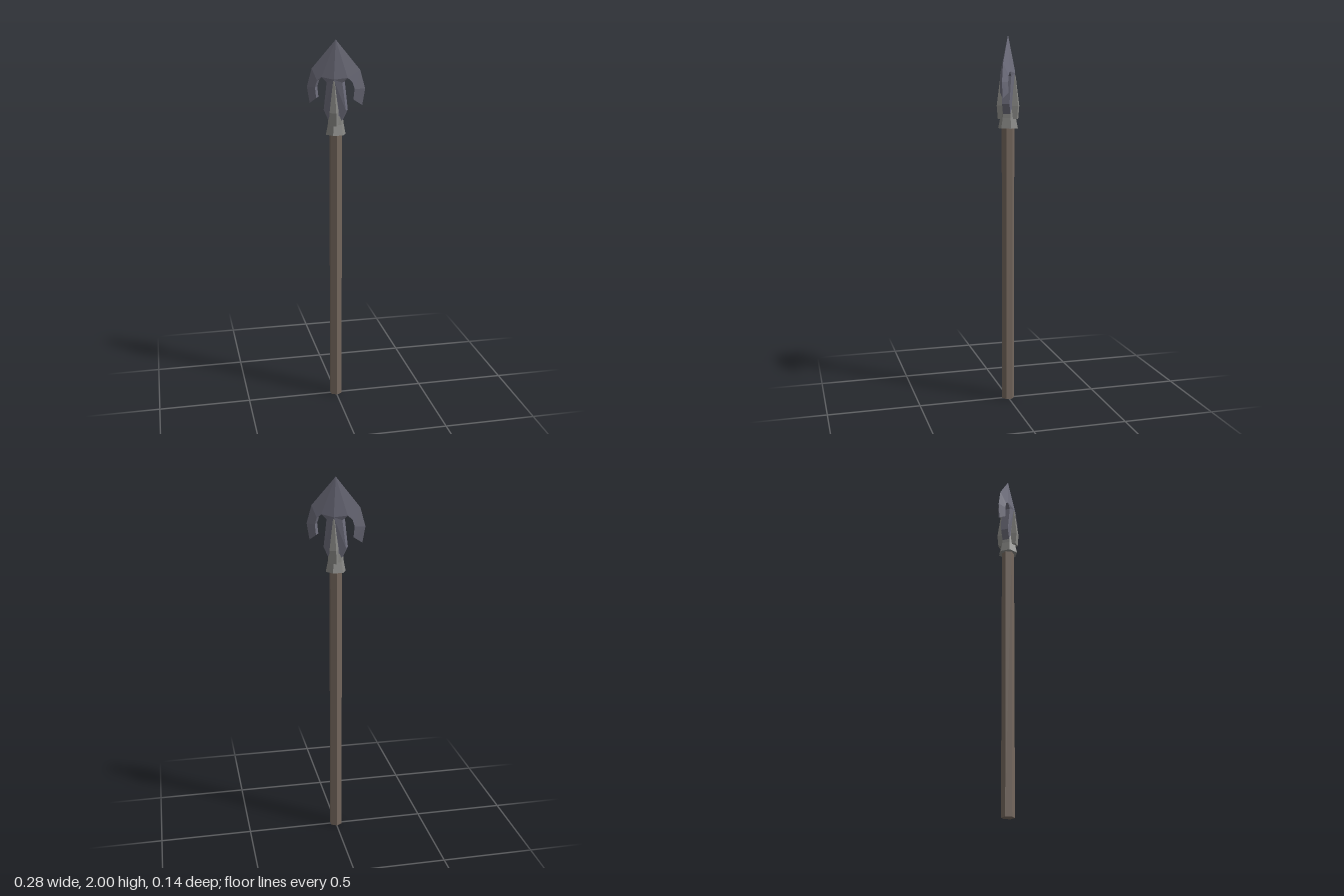
import * as THREE from 'three';

const steel = new THREE.MeshStandardMaterial({ color: 0x6c6c7a });
steel.name = 'dark steel';
const iron = new THREE.MeshStandardMaterial({ color: 0x868683 });
iron.name = 'grey iron';
const wood = new THREE.MeshStandardMaterial({ color: 0x74675d });
wood.name = 'brown wood';

function addMesh(parent, name, geometry, material) {
  const flat = geometry.index ? geometry.toNonIndexed() : geometry;
  flat.computeVertexNormals();
  const mesh = new THREE.Mesh(flat, material);
  mesh.name = name;
  parent.add(mesh);
  return mesh;
}

function fromTriangles(tris) {
  const g = new THREE.BufferGeometry();
  g.setAttribute('position', new THREE.Float32BufferAttribute(tris.flat(2), 3));
  return g;
}

// Six-sided tapered tube between two heights
function hexTube(y0, y1, r0, r1) {
  return new THREE.CylinderGeometry(r1, r0, y1 - y0, 6).translate(0, (y0 + y1) / 2, 0);
}

// Barbed head: one quarter surface mirrored across both axes
function bladeGeometry() {
  const p = { // across, height, half thickness
    tip: [0, 2, 0], b: [0.13, 1.85, 0], c: [0.157, 1.755, 0], d: [0.142, 1.67, 0],
    e: [0.1, 1.7, 0.022], f: [0.106, 1.755, 0.022], g: [0.095, 1.79, 0.023],
    h: [0.07, 1.81, 0.025], i: [0.042, 1.785, 0.026], k: [0.06, 1.64, 0.02],
    l: [0.032, 1.58, 0.02], m: [0, 1.58, 0.036], ridge: [0, 1.8, 0.038],
  };
  const faces = [
    ['tip', 'ridge', 'h'], ['tip', 'h', 'b'], ['b', 'h', 'g'], ['b', 'g', 'f'],
    ['b', 'f', 'c'], ['c', 'f', 'e'], ['c', 'e', 'd'], ['ridge', 'i', 'h'],
    ['ridge', 'm', 'l'], ['ridge', 'l', 'k'], ['ridge', 'k', 'i'],
  ].map((t) => t.map((n) => p[n]));
  // Rim walls reach from the face to the middle plane
  const rim = ['d', 'e', 'f', 'g', 'h', 'i', 'k', 'l', 'm'].map((n) => p[n]);
  const mid = ([x, y]) => [x, y, 0];
  for (let n = 0; n < rim.length - 1; n++) {
    const a = rim[n], b = rim[n + 1];
    faces.push([a, b, mid(b)]);
    if (a[2] > 0) faces.push([a, mid(b), mid(a)]);
  }
  const tris = [];
  for (const sx of [1, -1]) for (const sz of [1, -1]) {
    for (const face of faces) {
      const t = face.map(([x, y, z]) => [x * sx, y, z * sz]);
      tris.push(sx * sz > 0 ? t : t.reverse());
    }
  }
  return fromTriangles(tris);
}

// Tapered rib clasping the head, lofted through trapezoid sections
function ribGeometry() {
  const rings = [ // height, back half width, front half width, depth
    [1.56, 0.026, 0.018, 0.052], [1.63, 0.026, 0.018, 0.058], [1.79, 0.008, 0.004, 0.04],
  ].map(([y, back, front, z]) => [[-back, y, 0], [-front, y, z], [front, y, z], [back, y, 0]]);
  const tris = [];
  for (let r = 0; r < rings.length - 1; r++) {
    for (let n = 0; n < 4; n++) {
      const m = (n + 1) % 4, lo = rings[r], hi = rings[r + 1];
      tris.push([lo[n], lo[m], hi[m]], [lo[n], hi[m], hi[n]]);
    }
  }
  const [bottom, top] = [rings[0], rings[rings.length - 1]];
  tris.push([top[0], top[1], top[2]], [top[0], top[2], top[3]]);
  tris.push([bottom[2], bottom[1], bottom[0]], [bottom[3], bottom[2], bottom[0]]);
  return fromTriangles(tris);
}

export function createModel() {
  const model = new THREE.Group();
  model.name = 'spear';
  addMesh(model, 'shaft', hexTube(0, 1.54, 0.035, 0.035), wood);

  // The head and its socket are turned on the shaft
  const head = new THREE.Group();
  head.name = 'head';
  head.rotation.y = -Math.atan(0.5);
  model.add(head);
  addMesh(head, 'blade', bladeGeometry(), steel);
  addMesh(head, 'socketCollar', hexTube(1.51, 1.565, 0.054, 0.043), iron);
  addMesh(head, 'socketNeck', hexTube(1.565, 1.63, 0.043, 0.036), iron);
  addMesh(head, 'frontRib', ribGeometry(), iron);
  addMesh(head, 'backRib', ribGeometry(), iron).rotation.y = Math.PI;
  return model;
}
